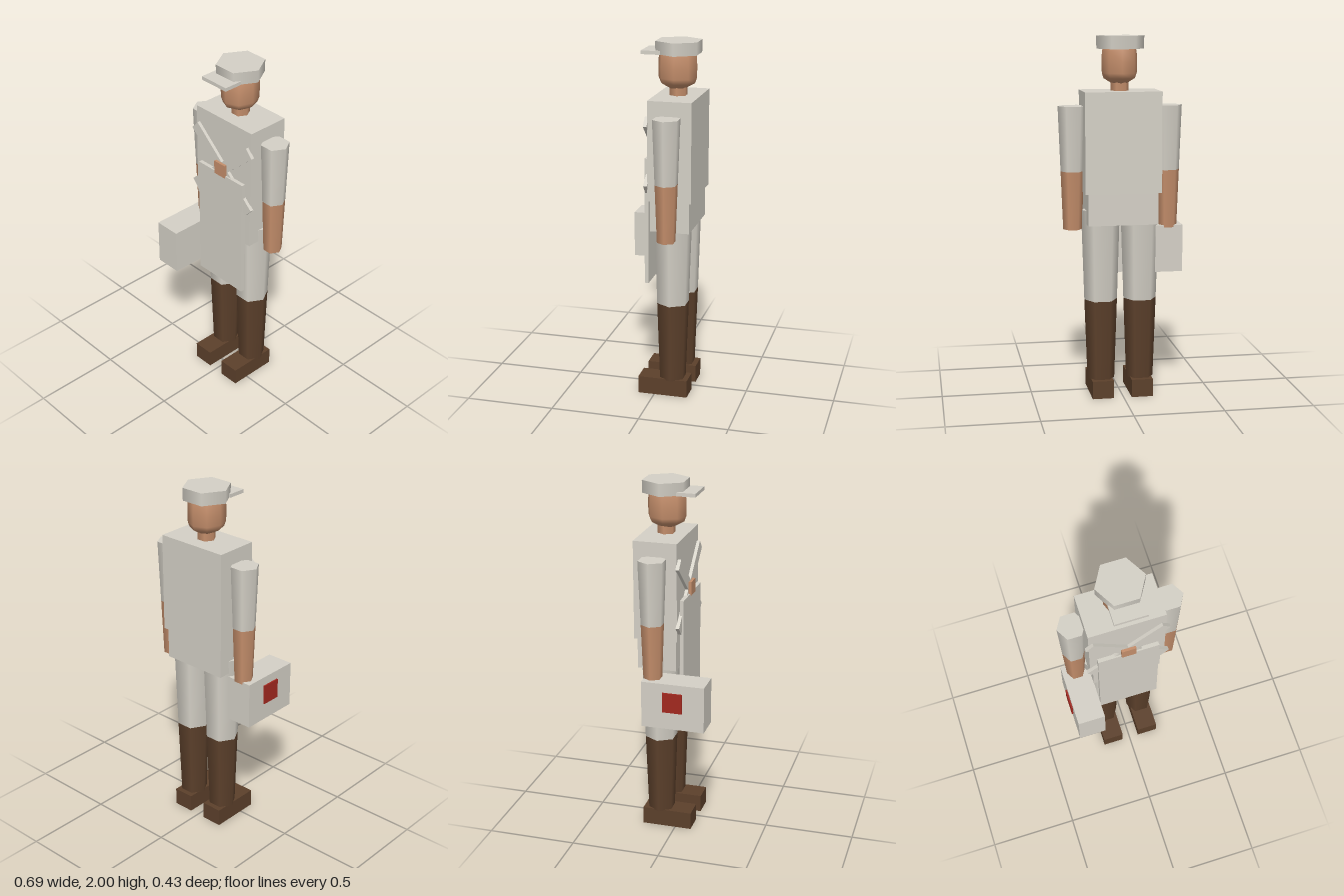
import * as THREE from 'three';

const mat = (name, color) => {
  const m = new THREE.MeshStandardMaterial({ color });
  m.name = name;
  return m;
};

export function createModel() {
  const cloth = mat('pale cloth', 0xd4d0c6);
  const skin = mat('skin', 0xc48e6b);
  const leather = mat('brown leather', 0x5c402b);
  const red = mat('red', 0xa3281f);

  const root = new THREE.Group();
  root.name = 'workman';
  const CX = 0.005, CZ = -0.095; // body axis

  const add = (name, geometry, material, x = 0, y = 0, z = 0) => {
    const mesh = new THREE.Mesh(geometry, material);
    mesh.name = name;
    mesh.position.set(x, y, z);
    root.add(mesh);
    return mesh;
  };

  // Box given by its limits on each axis
  const box = (name, material, [x0, x1], [y0, y1], [z0, z1]) =>
    add(name, new THREE.BoxGeometry(x1 - x0, y1 - y0, z1 - z0), material,
      (x0 + x1) / 2, (y0 + y1) / 2, (z0 + z1) / 2);

  // Six-sided tapered limb section with corners pointing sideways
  const hex = (name, material, x, yTop, yBottom, rTop, rBottom) =>
    add(name, new THREE.CylinderGeometry(rTop, rBottom, yTop - yBottom, 6, 1, false, Math.PI / 2),
      material, x, (yTop + yBottom) / 2, CZ);

  // Trunk
  box('torso', cloth, [-0.205, 0.215], [1.155, 1.705], [-0.217, 0.025]);
  box('hips', cloth, [-0.188, 0.198], [0.98, 1.155], [-0.203, 0.015]);

  // Head: smooth tapered chin, straight sides
  hex('neck', skin, CX + 0.003, 1.77, 1.7, 0.05, 0.05);
  const profile = [[0, 1.735], [0.045, 1.743], [0.096, 1.772], [0.106, 1.8],
    [0.108, 1.86], [0.105, 1.92], [0.09, 1.95], [0, 1.965]]
    .map(([r, y]) => new THREE.Vector2(r, y));
  add('head', new THREE.LatheGeometry(profile, 8), skin, 0.009, 0, -0.09).scale.x = 0.905;

  // Cap
  hex('cap', cloth, CX, 2.0, 1.93, 0.132, 0.13);
  box('capVisor', cloth, [-0.085, 0.093], [1.93, 1.95], [-0.013, 0.093]);

  // Limbs, split at the sleeve and boot edges
  for (const s of [-1, 1]) {
    const side = s > 0 ? 'left' : 'right';
    const armX = CX + s * 0.265, legX = CX + s * 0.11;
    hex(side + 'Sleeve', cloth, armX, 1.625, 1.27, 0.0775, 0.064);
    hex(side + 'Forearm', skin, armX, 1.27, 0.95, 0.064, 0.052);
    hex(side + 'Trouser', cloth, legX, 1.055, 0.55, 0.108, 0.092);
    hex(side + 'Boot', leather, legX, 0.55, 0.095, 0.092, 0.076);
    box(side + 'Foot', leather, [legX - 0.06, legX + 0.06], [0, 0.1], [-0.19, 0.093]);
  }

  // Apron with crossed straps and a clasp
  box('apron', cloth, [-0.165, 0.175], [0.67, 1.38], [0.03, 0.052]);
  for (const s of [-1, 1]) {
    const strap = add(s > 0 ? 'strapRising' : 'strapFalling',
      new THREE.BoxGeometry(0.56, 0.064, 0.02), cloth, CX, 1.405, 0.033);
    strap.rotation.z = s * 0.733;
  }
  box('clasp', skin, [-0.035, 0.045], [1.37, 1.447], [0.035, 0.058]);

  // Hand-held case with a side badge
  box('case', cloth, [-0.338, -0.185], [0.7, 0.962], [-0.138, 0.214]);
  box('caseBadge', red, [-0.347, -0.338], [0.8, 0.912], [-0.018, 0.093]);

  return root;
}
